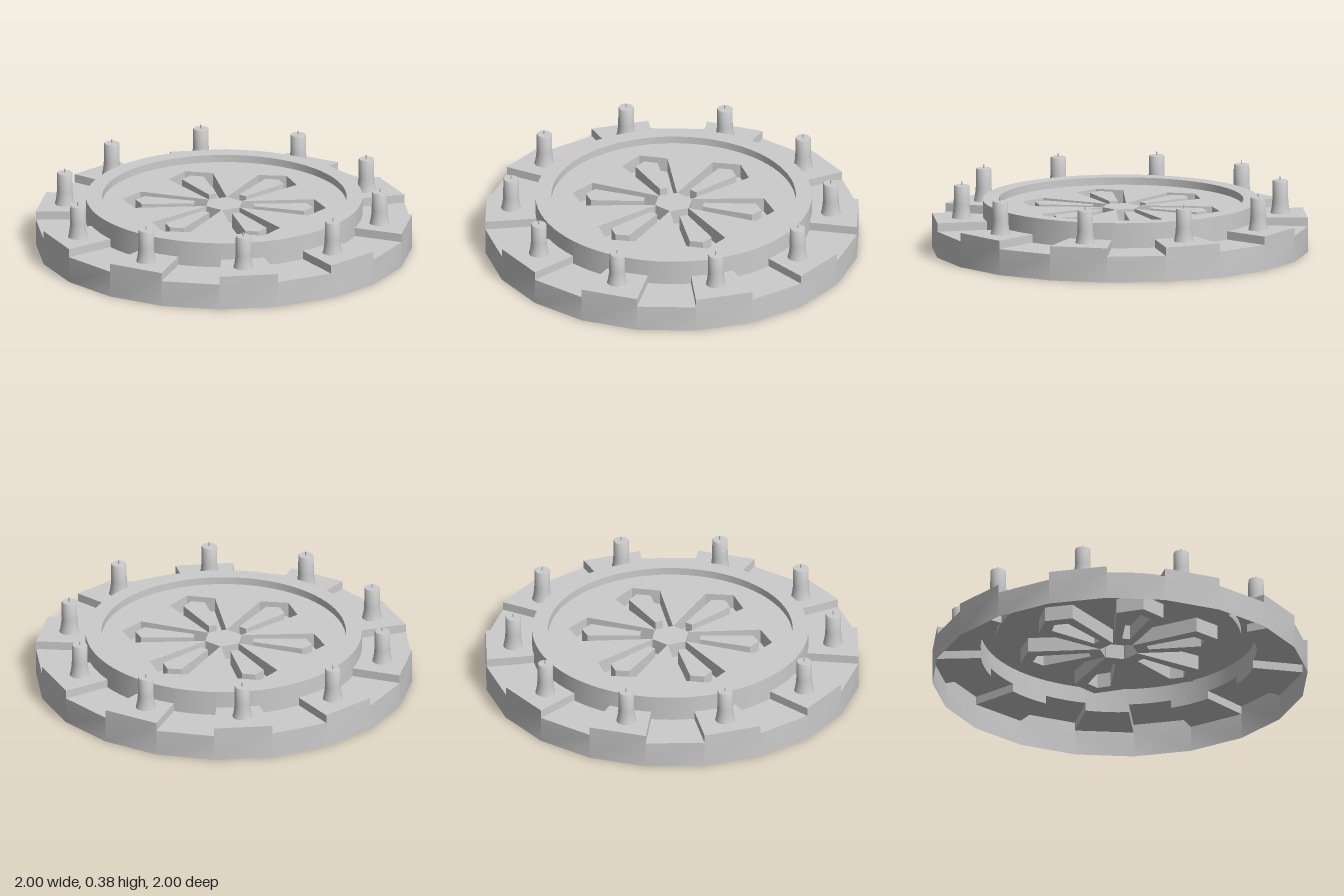
import * as THREE from 'three';
import { toCreasedNormals } from 'three/addons/utils/BufferGeometryUtils.js';

const LOW = 0.14, HIGH = 0.185, RIM = 0.275, DISC = 0.235, FLOOR = 0.155;
const RING_R = 0.735, DISC_R = 0.65;
const CX = 0.008, CZ = -0.004; // slight offset of the central ring
const rad = THREE.MathUtils.degToRad;

const material = new THREE.MeshStandardMaterial({ color: 0xcccccc, side: THREE.DoubleSide });

function addMesh(parent, name, geometry) {
  const mesh = new THREE.Mesh(geometry, material);
  mesh.name = name;
  parent.add(mesh);
  return mesh;
}

// Appends two triangles for corners given counter-clockwise
function quad(out, a, b, c, d) {
  for (const p of [a, b, c, a, c, d]) out.push(...p);
}

function fromTriangles(out, crease = 0.4) {
  const g = new THREE.BufferGeometry();
  g.setAttribute('position', new THREE.Float32BufferAttribute(out, 3));
  return toCreasedNormals(g, crease);
}

// Stepped outer shell: twenty sectors alternating between two heights, open below
function steppedBase() {
  const out = [], step = 18, parts = 4;
  const outer = (a, y) => [Math.sin(rad(a)), y, Math.cos(rad(a))];
  const inner = (a, y) => [CX + RING_R * Math.sin(rad(a)), y, CZ + RING_R * Math.cos(rad(a))];
  for (let i = 0; i < 20; i++) {
    const a0 = -18 + i * step, a1 = a0 + step;
    const high = i % 2 === 0, h = high ? HIGH : LOW;
    const o0 = outer(a0, h), o1 = outer(a1, h);
    quad(out, outer(a0, 0), outer(a1, 0), o1, o0);
    for (let k = 0; k < parts; k++) {
      const b0 = a0 + step * k / parts, b1 = a0 + step * (k + 1) / parts;
      const p0 = new THREE.Vector3(...o0).lerp(new THREE.Vector3(...o1), k / parts).toArray();
      const p1 = new THREE.Vector3(...o0).lerp(new THREE.Vector3(...o1), (k + 1) / parts).toArray();
      quad(out, inner(b0, h), p0, p1, inner(b1, h));
      quad(out, inner(b0, h), inner(b1, h), inner(b1, RIM), inner(b0, RIM));
    }
    // Risers on both sides of a raised sector
    if (high) {
      quad(out, outer(a1, LOW), inner(a1, LOW), inner(a1, HIGH), outer(a1, HIGH));
      quad(out, inner(a0, LOW), outer(a0, LOW), outer(a0, HIGH), inner(a0, HIGH));
    }
  }
  return fromTriangles(out);
}

// Petal outline turned about the centre
function petal(points, angle) {
  const c = new THREE.Vector2();
  return points.map(([x, y]) => new THREE.Vector2(x, y).rotateAround(c, angle));
}

const OUTER_PETAL = [[0.09, -0.05], [0.465, -0.128], [0.545, 0], [0.465, 0.128], [0.09, 0.05]];
const INNER_PETAL = [[0.16, -0.022], [0.435, -0.062], [0.475, 0], [0.435, 0.062], [0.16, 0.022]];

// Flat horizontal face at a given height
function flat(shape, y) {
  return new THREE.ShapeGeometry(shape, 24).rotateX(-Math.PI / 2).translate(0, y, 0);
}

// Vertical walls along an outline, facing outward or inward
function walls(out, pts, inward) {
  pts.forEach((p, i) => {
    let a = p, b = pts[(i + 1) % pts.length];
    if (inward) [a, b] = [b, a];
    quad(out, [a.x, FLOOR, -a.y], [b.x, FLOOR, -b.y], [b.x, DISC, -b.y], [a.x, DISC, -a.y]);
  });
}

export function createModel() {
  const model = new THREE.Group();
  model.name = 'candleStand';

  addMesh(model, 'steppedBase', steppedBase());

  // Central ring with a sunken disc
  const centre = new THREE.Group();
  centre.name = 'centre';
  centre.position.set(CX, 0, CZ);
  model.add(centre);

  const rimProfile = [[RING_R, RIM], [DISC_R, RIM], [DISC_R, DISC]].map(p => new THREE.Vector2(...p));
  addMesh(centre, 'rim', toCreasedNormals(new THREE.LatheGeometry(rimProfile, 80), 0.4));

  const disc = new THREE.Shape();
  disc.absarc(0, 0, DISC_R, 0, Math.PI * 2);

  // Six petal grooves, each around an island level with the disc
  for (let i = 0; i < 6; i++) {
    const angle = i * Math.PI / 3;
    const outline = petal(OUTER_PETAL, angle), island = petal(INNER_PETAL, angle);
    disc.holes.push(new THREE.Path(outline));
    const floor = new THREE.Shape(outline);
    floor.holes.push(new THREE.Path(island));
    const side = [];
    walls(side, outline, true);
    walls(side, island, false);
    addMesh(centre, 'grooveFloor', flat(floor, FLOOR));
    addMesh(centre, 'grooveWalls', fromTriangles(side, 0.1));
    addMesh(centre, 'petalIsland', flat(new THREE.Shape(island), DISC));
  }
  const discGeometry = new THREE.ShapeGeometry(disc, 40);
  addMesh(centre, 'disc', discGeometry.rotateX(-Math.PI / 2).translate(0, DISC, 0));

  // Candles with flared feet and thin wicks on the raised sectors
  const candleProfile = [[0.053, HIGH], [0.049, 0.2], [0.045, 0.225], [0.042, 0.26], [0.041, 0.355],
    [0.038, 0.36], [0, 0.36]].map(p => new THREE.Vector2(...p));
  const candle = toCreasedNormals(new THREE.LatheGeometry(candleProfile, 24), 0.6);
  const wick = new THREE.CylinderGeometry(0.004, 0.004, 0.02, 8).translate(0, 0.37, 0);
  for (let i = 0; i < 10; i++) {
    const a = rad(-9 + i * 36);
    const holder = new THREE.Group();
    holder.name = 'candle';
    holder.position.set(0.85 * Math.sin(a) - 0.007, 0, 0.85 * Math.cos(a) - 0.007);
    addMesh(holder, 'candleBody', candle);
    addMesh(holder, 'wick', wick);
    model.add(holder);
  }
  return model;
}
